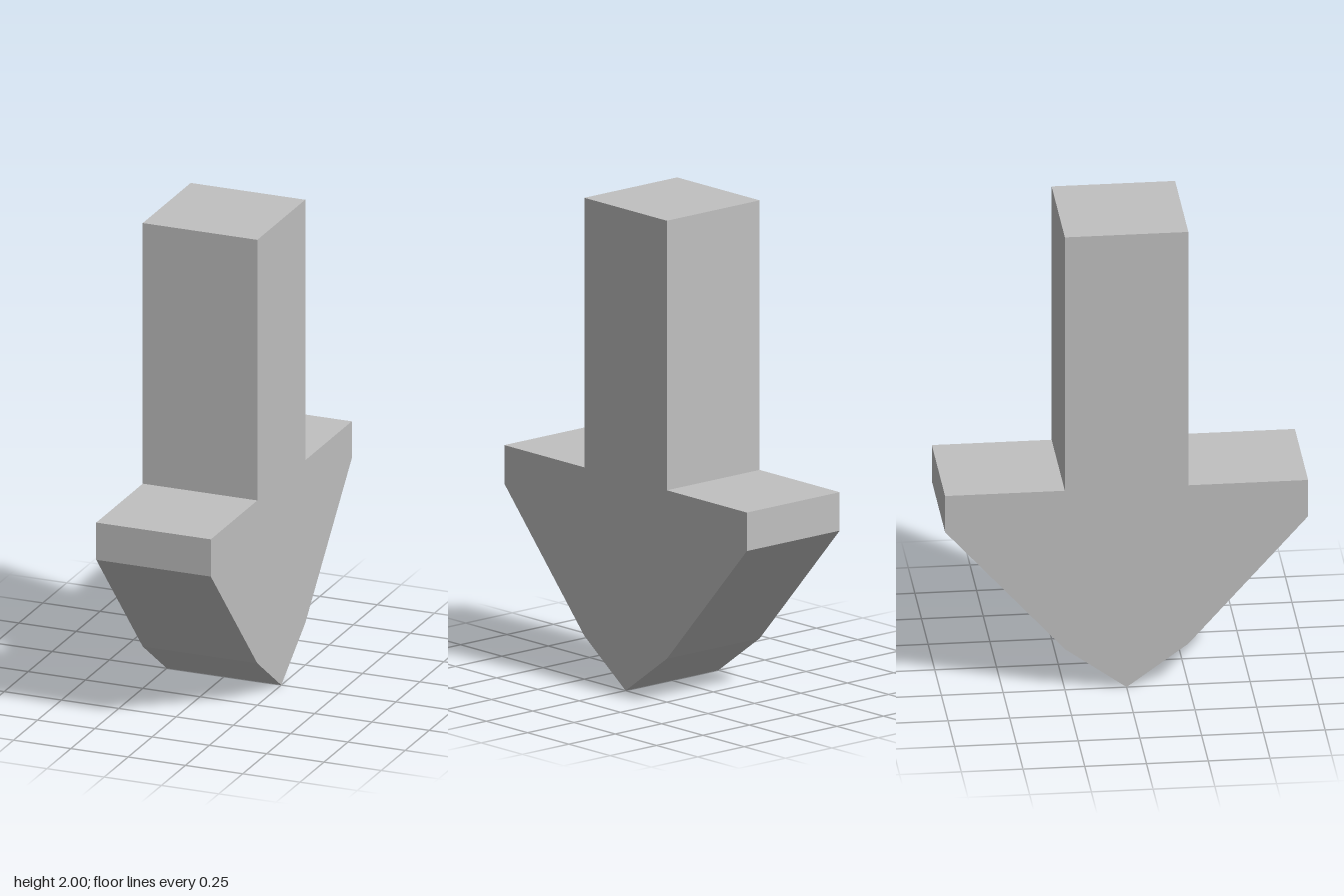
import * as THREE from 'three';

export function createModel() {
  const group = new THREE.Group();
  group.name = 'downArrow';

  const grey = new THREE.MeshStandardMaterial({ color: 0xc0c0c0 });
  grey.name = 'light grey';

  // Half outline from the tip up to the top of the shaft, mirrored for the other side
  const half = [[0.25, 0.18], [0.735, 0.72], [0.735, 0.88], [0.25, 0.88], [0.25, 2]];
  const mirrored = half.map(([z, y]) => [-z, y]).reverse();
  const outline = [[0, 0], ...half, ...mirrored].map(([z, y]) => new THREE.Vector2(z, y));

  // Extrude the arrow and turn it so its thickness runs along x
  const width = 0.5;
  const geometry = new THREE.ExtrudeGeometry(new THREE.Shape(outline), { depth: width, bevelEnabled: false });
  geometry.translate(0, 0, -width / 2);
  geometry.rotateY(Math.PI / 2);

  const arrow = new THREE.Mesh(geometry, grey);
  arrow.name = 'arrowBody';
  group.add(arrow);
  return group;
}
